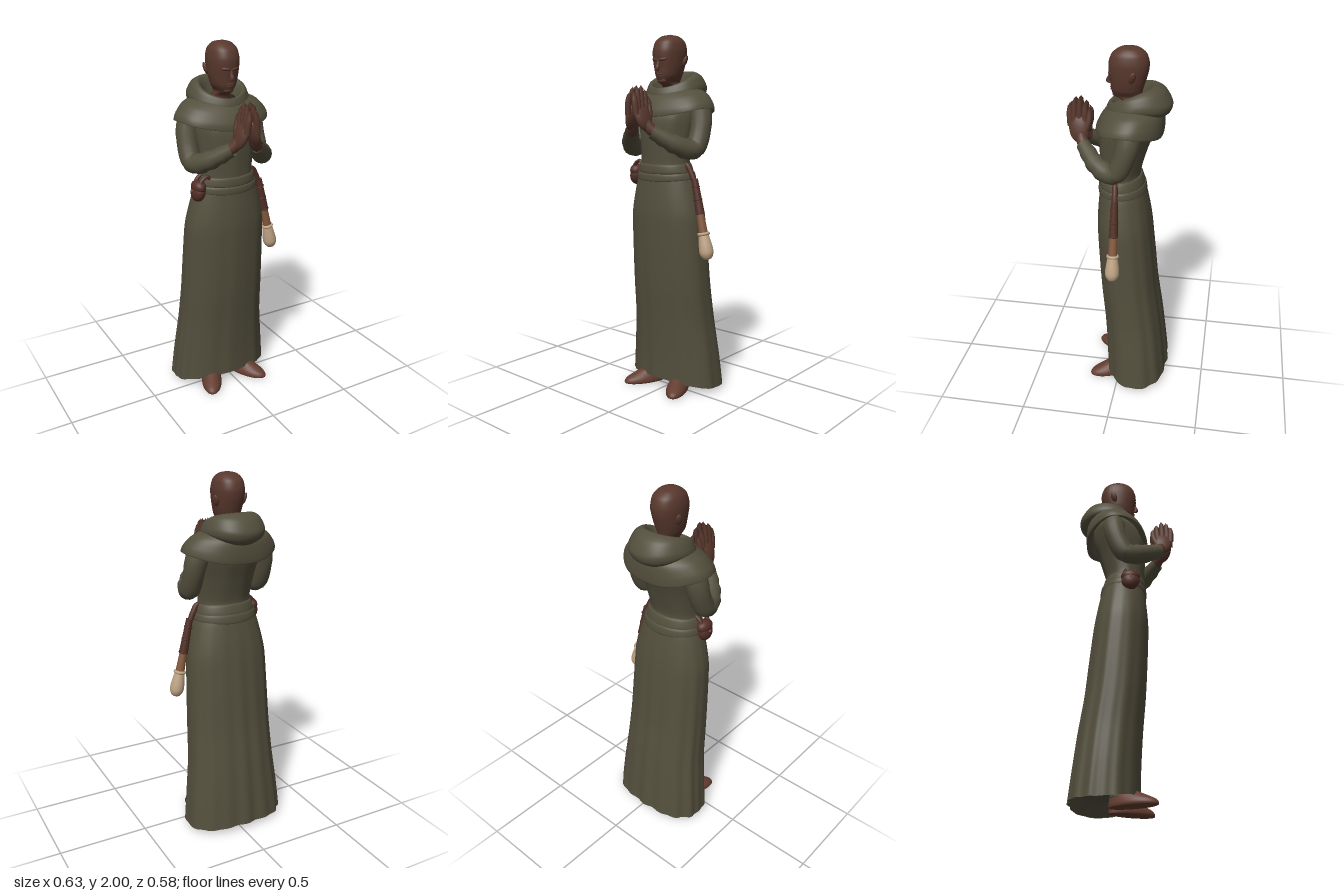
import * as THREE from 'three';

const mat = (name, color, side = THREE.FrontSide) => {
  const m = new THREE.MeshStandardMaterial({ color, side });
  m.name = name;
  return m;
};

// Closed loft around the y axis. Row: [half width, front z, back z, front y, side y, back y].
function loft(rows, { steps = 6, around = 72, fold = () => 1 } = {}) {
  const full = rows.map(([rx, zf, zb, yf, ys = yf, yb = yf]) => [rx, zf, zb, yf, ys, yb]);
  const a = new THREE.CatmullRomCurve3(full.map((r) => new THREE.Vector3(r[0], r[1], r[2])), false, 'catmullrom', 0.4);
  const b = new THREE.CatmullRomCurve3(full.map((r) => new THREE.Vector3(r[3], r[4], r[5])), false, 'catmullrom', 0.4);
  const n = (rows.length - 1) * steps, pos = [], index = [];
  for (let i = 0; i <= n; i++) {
    const t = i / n, p = a.getPoint(t), q = b.getPoint(t);
    for (let j = 0; j < around; j++) {
      const ang = (j / around) * Math.PI * 2, c = Math.cos(ang), f = fold(ang, t);
      pos.push(
        p.x * Math.sin(ang) * f,
        q.y + ((q.x - q.z) / 2) * c + ((q.x + q.z) / 2 - q.y) * c * c,
        (p.y + p.z) / 2 + ((p.y - p.z) / 2) * c * f
      );
      if (i < n) {
        const k = i * around + j, l = i * around + ((j + 1) % around);
        index.push(k, l, k + around, l, l + around, k + around);
      }
    }
  }
  const g = new THREE.BufferGeometry();
  g.setAttribute('position', new THREE.Float32BufferAttribute(pos, 3));
  g.setIndex(index);
  g.computeVertexNormals();
  return g;
}

// Tube along a smooth path, with its radius taken from a list.
function limb(points, radii, segs = 28, sides = 16) {
  const curve = new THREE.CatmullRomCurve3(points.map((p) => new THREE.Vector3(...p)));
  const g = new THREE.TubeGeometry(curve, segs, 1, sides, false);
  const pos = g.attributes.position, v = new THREE.Vector3();
  for (let i = 0; i <= segs; i++) {
    const c = curve.getPointAt(i / segs), u = (i / segs) * (radii.length - 1);
    const k = Math.min(Math.floor(u), radii.length - 2);
    const r = THREE.MathUtils.lerp(radii[k], radii[k + 1], THREE.MathUtils.smoothstep(u - k, 0, 1));
    for (let j = 0; j <= sides; j++) {
      const id = i * (sides + 1) + j;
      v.fromBufferAttribute(pos, id).sub(c).multiplyScalar(r).add(c);
      pos.setXYZ(id, v.x, v.y, v.z);
    }
  }
  return g;
}

export function createModel() {
  const root = new THREE.Group(), body = new THREE.Group();
  root.name = 'robedFigure';
  body.name = 'body';
  body.position.x = -0.023;
  root.add(body);

  const cloth = mat('olive cloth', 0x534f3d, THREE.DoubleSide);
  const skin = mat('brown skin', 0x58382d);
  const leather = mat('dark leather', 0x522f27);
  const shoeMat = mat('shoe leather', 0x633c30);
  const wood = mat('wood', 0x845a3e);
  const cream = mat('pale wood', 0xbda283);

  const add = (name, geo, material, parent = body) => {
    const m = new THREE.Mesh(geo, material);
    m.name = name;
    parent.add(m);
    return m;
  };
  const ball = (name, material, p, s, parent = body) => {
    const m = add(name, new THREE.SphereGeometry(1, 24, 16), material, parent);
    m.position.set(...p);
    m.scale.set(...s);
    return m;
  };

  // Long skirt, fuller at the back corners, with folds that deepen towards the hem
  const folds = (a, t) => {
    const d = 1 - t, back = (1 - Math.cos(a)) / 2;
    return 1 + 0.075 * Math.pow(d, 0.5) * Math.sin(2 * a) ** 2 * back
      + Math.pow(d, 1.1) * (0.024 * back * back * Math.cos(16 * a) + 0.013 * Math.cos(10 * a) - 0.006 * Math.sin(17 * a));
  };
  add('skirt', loft([
    [0.292, 0.085, -0.28, 0.062, 0.022, 0.035], [0.276, 0.088, -0.262, 0.2], [0.255, 0.1, -0.238, 0.4],
    [0.246, 0.118, -0.208, 0.6], [0.24, 0.13, -0.188, 0.8], [0.232, 0.138, -0.167, 1.0],
    [0.214, 0.134, -0.152, 1.1], [0.188, 0.125, -0.132, 1.2], [0.165, 0.12, -0.118, 1.26],
  ], { around: 144, fold: folds }), cloth);
  add('skirtLining', loft([
    [0.004, -0.09, -0.1, 0.1], [0.2, 0.03, -0.22, 0.09], [0.288, 0.082, -0.276, 0.064, 0.024, 0.037],
  ], { around: 144, fold: (a, t) => 1 + (folds(a, 0) - 1) * t }), cloth);

  // Bodice
  add('torso', loft([
    [0.16, 0.118, -0.115, 1.24], [0.15, 0.118, -0.1, 1.32], [0.163, 0.124, -0.135, 1.45],
    [0.18, 0.122, -0.17, 1.55], [0.185, 0.09, -0.18, 1.63], [0.12, 0.04, -0.15, 1.7],
  ], { fold: (a, t) => 1 + 0.012 * Math.cos(9 * a) * Math.sin(t * Math.PI) }), cloth);

  // Two-layer sash
  add('lowerSash', loft([
    [0.165, 0.118, -0.12, 1.205, 1.215, 1.205], [0.183, 0.13, -0.134, 1.208, 1.218, 1.21],
    [0.177, 0.13, -0.128, 1.24, 1.25, 1.25], [0.16, 0.12, -0.112, 1.25, 1.258, 1.26],
  ], { steps: 4 }), cloth);
  add('upperSash', loft([
    [0.155, 0.115, -0.11, 1.245, 1.25, 1.25], [0.171, 0.128, -0.122, 1.252, 1.256, 1.256],
    [0.159, 0.126, -0.11, 1.292, 1.298, 1.302], [0.145, 0.115, -0.098, 1.3, 1.305, 1.31],
  ], { steps: 4 }), cloth);

  // Shoulder cape, hem turned under
  add('cape', loft([
    [0.245, 0.118, -0.19, 1.575, 1.615, 1.565], [0.267, 0.138, -0.218, 1.556, 1.602, 1.548],
    [0.256, 0.136, -0.222, 1.59, 1.635, 1.6], [0.215, 0.112, -0.215, 1.64, 1.68, 1.66],
    [0.15, 0.078, -0.18, 1.68, 1.71, 1.71], [0.1, 0.04, -0.13, 1.69, 1.72, 1.72],
  ], { fold: (a, t) => 1 + (1 - t) * (0.012 * Math.cos(7 * a) + 0.04 * Math.sin(2 * a) ** 2 * (1 - Math.cos(a)) / 2) }), cloth);

  // Lowered hood: thick roll, low at the throat and high at the nape
  add('hood', loft([
    [0.14, 0.07, -0.2, 1.65, 1.675, 1.635], [0.166, 0.084, -0.25, 1.67, 1.7, 1.67],
    [0.163, 0.08, -0.262, 1.69, 1.73, 1.715], [0.145, 0.07, -0.225, 1.71, 1.765, 1.78],
    [0.122, 0.055, -0.17, 1.71, 1.772, 1.808], [0.104, 0.042, -0.142, 1.692, 1.748, 1.775],
    [0.085, 0.02, -0.12, 1.675, 1.7, 1.71],
  ], { fold: (a) => 1 + 0.01 * Math.cos(5 * a) }), cloth);

  // Head and neck, with full temples and a broad brow
  add('head', loft([
    [0.055, 0.0, -0.115, 1.64], [0.052, 0.0, -0.102, 1.715], [0.043, 0.046, -0.1, 1.742],
    [0.062, 0.06, -0.104, 1.775], [0.074, 0.065, -0.118, 1.82], [0.08, 0.073, -0.132, 1.87],
    [0.081, 0.073, -0.136, 1.915], [0.071, 0.056, -0.122, 1.96], [0.045, 0.018, -0.085, 1.989],
    [0.001, -0.03, -0.031, 2.0],
  ], { fold: (a, t) => 1 + 0.05 * Math.sin(2 * a) ** 2 * t }), skin);
  add('nose', limb([[0, 1.86, 0.064], [0, 1.835, 0.07], [0, 1.815, 0.075], [0, 1.803, 0.062]], [0.007, 0.009, 0.013, 0.003]), skin);
  ball('upperLip', skin, [0, 1.785, 0.056], [0.022, 0.006, 0.01]);
  ball('lowerLip', skin, [0, 1.774, 0.054], [0.018, 0.006, 0.01]);
  ball('chin', skin, [0, 1.752, 0.036], [0.03, 0.018, 0.018]);

  for (const s of [1, -1]) {
    const brow = ball('brow', skin, [s * 0.026, 1.864, 0.062], [0.026, 0.009, 0.01]);
    brow.rotation.set(0, s * 0.35, s * 0.12);
    const ear = ball('ear', skin, [s * 0.084, 1.858, -0.06], [0.011, 0.032, 0.018]);
    ear.rotation.set(-0.2, s * 0.4, -s * 0.25);

    // Bent sleeve, wrinkled along the forearm
    add('upperSleeve', limb(
      [[s * 0.17, 1.63, -0.06], [s * 0.2, 1.54, -0.055], [s * 0.208, 1.45, -0.03], [s * 0.207, 1.388, 0.005], [s * 0.198, 1.378, 0.04]],
      [0.045, 0.064, 0.061, 0.057, 0.057, 0.055, 0.03]), cloth);
    add('foreSleeve', limb(
      [[s * 0.213, 1.4, -0.01], [s * 0.205, 1.383, 0.035], [s * 0.165, 1.41, 0.11], [s * 0.072, 1.482, 0.202]],
      [0.03, 0.055, 0.052, 0.056, 0.049, 0.052, 0.044, 0.046, 0.04, 0.038], 54), cloth);

    // Praying hand, palms touching
    const hand = new THREE.Group();
    hand.name = s > 0 ? 'leftHand' : 'rightHand';
    body.add(hand);
    add('wrist', limb([[s * 0.09, 1.47, 0.185], [s * 0.062, 1.5, 0.207], [s * 0.035, 1.55, 0.222]], [0.03, 0.032, 0.022]), skin, hand);
    const palm = ball('palm', skin, [s * 0.034, 1.562, 0.228], [0.028, 0.082, 0.056], hand);
    palm.rotation.set(0.12, 0, s * 0.3);
    [[0.197, 1.7], [0.226, 1.724], [0.254, 1.716], [0.278, 1.688]].forEach(([z, tip]) => {
      add('finger', limb(
        [[s * 0.03, 1.57, z * 0.9 + 0.025], [s * 0.023, 1.635, z + 0.002], [s * 0.018, tip - 0.025, z], [s * 0.016, tip, z - 0.002]],
        [0.018, 0.018, 0.0172, 0.0172, 0.0165, 0.0158, 0.0135, 0.001], 28, 12), skin, hand);
    });
    add('thumb', limb(
      [[s * 0.045, 1.53, 0.205], [s * 0.033, 1.59, 0.18], [s * 0.021, 1.645, 0.174], [s * 0.018, 1.672, 0.177]],
      [0.022, 0.021, 0.018, 0.016, 0.014, 0.001], 24, 12), skin, hand);

    // Ankle and shoe, toes turned out
    add('ankle', new THREE.CylinderGeometry(0.042, 0.038, 0.1, 20), cloth).position.set(s * 0.1, 0.1, -0.03);
    const shoe = add('shoe', loft([
      [0.002, 0.01, 0.0, 0.0], [0.05, 0.128, -0.115, 0.001], [0.059, 0.142, -0.124, 0.014],
      [0.056, 0.126, -0.122, 0.034], [0.046, 0.07, -0.118, 0.06], [0.038, 0.01, -0.11, 0.085], [0.002, -0.04, -0.05, 0.09],
    ], { around: 36 }), shoeMat);
    shoe.position.set(s * 0.118, 0, 0.038);
    shoe.rotation.y = s * 0.45;
  }

  // Belt pouch on the right hip
  const pouch = new THREE.Group();
  pouch.name = 'pouch';
  pouch.position.set(-0.208, 1.235, 0.035);
  pouch.rotation.z = -0.15;
  root.add(pouch);
  ball('pouchBag', leather, [0, -0.012, 0], [0.038, 0.054, 0.05], pouch);
  ball('pouchFlap', leather, [-0.002, 0.016, 0], [0.038, 0.038, 0.053], pouch);
  ball('pouchButton', wood, [-0.039, -0.006, 0], [0.005, 0.007, 0.007], pouch);
  for (const z of [-0.027, 0.027]) {
    add('pouchStrap', limb([[-0.012, 0.03, z], [0.004, 0.062, z], [0.03, 0.078, z], [0.05, 0.06, z]], [0.011, 0.011, 0.011], 16, 8), leather, pouch);
  }

  // Hanging club on the left hip
  add('clubStrap', limb([[0.115, 1.3, 0.014], [0.138, 1.298, 0.015], [0.162, 1.262, 0.012], [0.19, 1.2, 0.01]], [0.01, 0.016, 0.016, 0.014]), leather, root);
  const club = new THREE.Group();
  club.name = 'club';
  club.position.set(0.188, 1.22, 0.01);
  club.rotation.z = 0.213;
  root.add(club);
  const rod = (name, material, r1, r2, top, bottom) => {
    add(name, new THREE.CylinderGeometry(r1, r2, top - bottom, 24), material, club).position.y = (top + bottom) / 2;
  };
  rod('handleWrap', leather, 0.018, 0.025, 0.005, -0.19);
  rod('shaft', wood, 0.021, 0.025, -0.19, -0.3);
  for (const y of [-0.04, -0.11, -0.185]) {
    const r = add('wrapBand', new THREE.TorusGeometry(0.02 - y * 0.022, 0.003, 8, 24), leather, club);
    r.position.y = y;
    r.rotation.x = Math.PI / 2;
  }
  const collar = add('headCollar', new THREE.TorusGeometry(0.026, 0.009, 10, 28), cream, club);
  collar.position.y = -0.298;
  collar.rotation.x = Math.PI / 2;
  const profile = new THREE.SplineCurve([[0.0005, -0.441], [0.022, -0.434], [0.037, -0.408], [0.038, -0.375], [0.032, -0.33], [0.026, -0.295]]
    .map((p) => new THREE.Vector2(...p)));
  add('clubHead', new THREE.LatheGeometry(profile.getPoints(24), 28), cream, club);

  return root;
}
